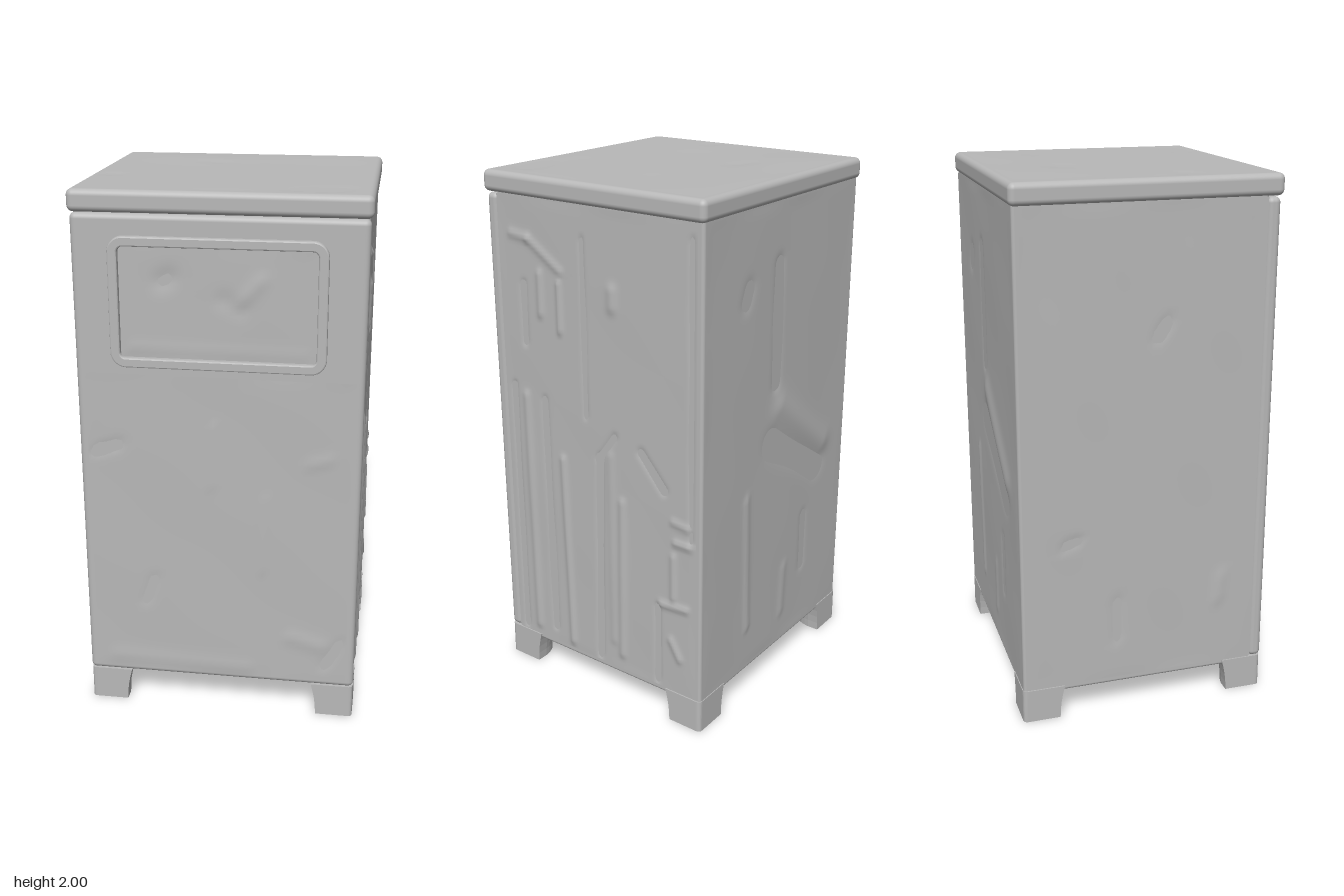
import * as THREE from 'three';
import { RoundedBoxGeometry } from 'three/addons/geometries/RoundedBoxGeometry.js';

const metal = new THREE.MeshStandardMaterial({ color: 0xb8b8b8 });
metal.name = 'grey metal';

function add(group, name, geometry, x = 0, y = 0, z = 0) {
  const mesh = new THREE.Mesh(geometry, metal);
  mesh.name = name;
  mesh.position.set(x, y, z);
  group.add(mesh);
  return mesh;
}

function roundedRect(PathType, x0, x1, y0, y1, r) {
  const p = new PathType();
  p.moveTo(x0 + r, y0);
  p.lineTo(x1 - r, y0);
  p.absarc(x1 - r, y0 + r, r, -Math.PI / 2, 0);
  p.absarc(x1 - r, y1 - r, r, 0, Math.PI / 2);
  p.absarc(x0 + r, y1 - r, r, Math.PI / 2, Math.PI);
  p.absarc(x0 + r, y0 + r, r, Math.PI, Math.PI * 1.5);
  return p;
}

// Thin sheet with soft dents and ridges: each is [u0, v0, u1, v1, radius, height]
function dentedSheet(w, h, su, sv, vCentre, dents) {
  const g = new THREE.PlaneGeometry(w, h, su, sv);
  const pos = g.attributes.position;
  const p = new THREE.Vector3(), q = new THREE.Vector3();
  const lines = dents.map(d => new THREE.Line3(
    new THREE.Vector3(d[0], d[1], 0), new THREE.Vector3(d[2], d[3], 0)));
  for (let i = 0; i < pos.count; i++) {
    const u = pos.getX(i), v = pos.getY(i);
    const edge = Math.min(1, (w / 2 - Math.abs(u)) / 0.03, (h / 2 - Math.abs(v)) / 0.03);
    p.set(u, v + vCentre, 0);
    let z = 0.001 * Math.sin(u * 11 + v * 4) * Math.cos(v * 7 - u * 3);
    dents.forEach((d, k) => {
      lines[k].closestPointToPoint(p, true, q);
      z += d[5] * Math.exp(-((p.distanceTo(q) / d[4]) ** 2));
    });
    pos.setZ(i, z * edge);
  }
  g.computeVertexNormals();
  return g;
}

// Tapered corner foot with a rounded inner corner
function footGeometry() {
  const s = new THREE.Shape();
  s.moveTo(0.02, 0);
  s.lineTo(0.16, 0);
  s.lineTo(0.16, 0.05);
  s.quadraticCurveTo(0.15, 0.15, 0.05, 0.16);
  s.lineTo(0, 0.16);
  s.lineTo(0, 0.02);
  s.quadraticCurveTo(0, 0, 0.02, 0);
  const g = new THREE.ExtrudeGeometry(s, { depth: 0.13, bevelEnabled: false, curveSegments: 8, steps: 4 });
  const pos = g.attributes.position;
  for (let i = 0; i < pos.count; i++) {
    const t = pos.getZ(i) / 0.13;
    const k = 0.88 + 0.12 * t * t;
    pos.setXY(i, pos.getX(i) * k, pos.getY(i) * k);
  }
  g.rotateX(-Math.PI / 2);
  g.computeVertexNormals();
  return g;
}

export function createModel() {
  const bin = new THREE.Group();
  bin.name = 'bin';

  // Cabinet, front door panel and lid
  add(bin, 'cabinet', new RoundedBoxGeometry(1.01, 1.83, 0.905, 3, 0.012), 0, 1.025, -0.0275);
  add(bin, 'frontPanel', new RoundedBoxGeometry(1.022, 1.785, 0.05, 4, 0.02), -0.001, 1.0225, 0.444);
  add(bin, 'lid', new RoundedBoxGeometry(1.036, 0.078, 0.97, 4, 0.022), 0, 1.957, -0.005);
  const lidTop = dentedSheet(0.97, 0.9, 40, 36, 0, [
    [-0.15, 0.22, -0.08, 0.19, 0.03, -0.003], [0.28, -0.4, 0.4, -0.38, 0.04, -0.004],
    [-0.47, -0.14, -0.42, -0.16, 0.025, -0.004], [-0.3, 0.3, 0.35, 0.33, 0.12, 0.003],
  ]);
  lidTop.rotateX(-Math.PI / 2);
  add(bin, 'lidTop', lidTop, 0, 1.9975, -0.01);

  // Corner feet
  const foot = footGeometry();
  for (const [x, z, turn] of [[-0.51, 0.467, 0], [0.51, 0.467, 1], [0.51, -0.483, 2], [-0.51, -0.483, 3]]) {
    add(bin, 'foot', foot, x, 0, z).rotation.y = turn * Math.PI / 2;
  }

  // Raised surround of the flap
  const surround = roundedRect(THREE.Shape, -0.375, 0.372, 1.385, 1.838, 0.05);
  surround.holes.push(roundedRect(THREE.Path, -0.35, 0.347, 1.41, 1.813, 0.025));
  add(bin, 'flapSurround', new THREE.ExtrudeGeometry(surround, {
    depth: 0.017, bevelThickness: 0.006, bevelSize: 0.005, bevelSegments: 2, curveSegments: 8,
  }), 0, 0, 0.467);

  // Flap with a few dents
  const flap = dentedSheet(0.68, 0.386, 36, 22, 1.61, [
    [-0.19, 1.69, -0.17, 1.7, 0.035, -0.006], [0.08, 1.62, 0.15, 1.7, 0.025, 0.004],
    [0.02, 1.63, 0.08, 1.6, 0.03, -0.004], [-0.3, 1.45, 0.3, 1.44, 0.02, 0.002],
  ]);
  add(bin, 'flap', flap, -0.002, 1.61, 0.474);

  // Worn front sheet
  const frontSheet = dentedSheet(0.96, 1.2, 48, 60, 0.75, [
    [-0.46, 1.05, -0.37, 1.08, 0.02, -0.005], [-0.03, 0.93, -0.02, 1.17, 0.012, 0.003],
    [0.16, 0.6, 0.17, 0.9, 0.012, 0.003], [-0.28, 0.45, -0.25, 0.54, 0.02, -0.004],
    [0.27, 0.33, 0.38, 0.3, 0.025, 0.004], [0.4, 0.22, 0.46, 0.32, 0.02, -0.004],
    [0.33, 1.04, 0.4, 1.06, 0.02, 0.003], [-0.4, 0.2, 0.1, 0.18, 0.03, 0.003],
  ]);
  add(bin, 'frontSheet', frontSheet, 0, 0.75, 0.4705);

  // Streaked left side, u runs towards the back
  const streaks = dentedSheet(0.88, 1.78, 110, 150, 1.025, [
    [-0.4, 0.15, -0.4, 1.2, 0.012, -0.007], [-0.33, 0.18, -0.34, 1.17, 0.016, 0.007],
    [-0.24, 0.2, -0.25, 1.17, 0.014, -0.006], [-0.15, 0.16, -0.17, 0.95, 0.014, 0.008],
    [-0.01, 0.15, 0.01, 1, 0.014, -0.008], [0.01, 1, 0.08, 1.1, 0.014, -0.006],
    [0.1, 0.2, 0.11, 0.85, 0.016, 0.007], [0.06, 0.25, 0.06, 1.02, 0.018, 0.004],
    [-0.38, 1.78, -0.3, 1.77, 0.014, 0.006], [-0.3, 1.77, -0.15, 1.67, 0.014, 0.006],
    [-0.33, 1.38, -0.33, 1.6, 0.014, -0.006], [-0.25, 1.5, -0.25, 1.65, 0.014, 0.007],
    [-0.16, 1.45, -0.16, 1.63, 0.012, 0.008], [-0.05, 1.15, -0.05, 1.8, 0.01, -0.005],
    [0.08, 1.58, 0.08, 1.64, 0.022, 0.007], [0.2, 1.07, 0.3, 0.95, 0.016, -0.007],
    [0.35, 0.76, 0.43, 0.76, 0.013, 0.008], [0.34, 0.84, 0.41, 0.83, 0.013, 0.006],
    [0.27, 0.15, 0.27, 0.48, 0.012, -0.007], [0.28, 0.49, 0.4, 0.5, 0.013, 0.008],
    [0.34, 0.53, 0.34, 0.7, 0.013, 0.007], [0.33, 0.35, 0.37, 0.28, 0.014, 0.007],
    [0.42, 0.78, 0.42, 1.86, 0.01, -0.007],
  ]);
  streaks.rotateY(Math.PI / 2);
  add(bin, 'leftSheet', streaks, 0.507, 1.025, -0.018);

  // Smoother right side
  const plain = dentedSheet(0.88, 1.78, 44, 80, 1.025, [
    [-0.3, 0.7, -0.25, 0.71, 0.015, -0.006], [0.05, 1.45, 0.08, 1.5, 0.02, -0.005],
    [0.3, 0.4, 0.31, 0.5, 0.02, 0.004], [-0.1, 0.3, -0.1, 0.45, 0.02, -0.004],
  ]);
  plain.rotateY(-Math.PI / 2);
  add(bin, 'rightSheet', plain, -0.507, 1.025, -0.018);

  // Back sheet with a long crease and a diagonal dent
  const back = dentedSheet(0.98, 1.78, 70, 110, 1.025, [
    [-0.04, 1.25, -0.04, 1.7, 0.025, -0.007], [0, 1.15, 0.32, 0.9, 0.05, 0.009],
    [-0.05, 1.02, 0.28, 0.82, 0.05, -0.009], [-0.2, 0.3, -0.22, 0.85, 0.014, 0.006],
    [-0.25, 1.6, -0.23, 1.65, 0.03, -0.005], [0.2, 0.4, 0.2, 0.62, 0.02, -0.005],
    [0.05, 0.25, 0.06, 0.45, 0.018, 0.004],
  ]);
  back.rotateY(Math.PI);
  add(bin, 'backSheet', back, 0, 1.025, -0.482);

  return bin;
}
